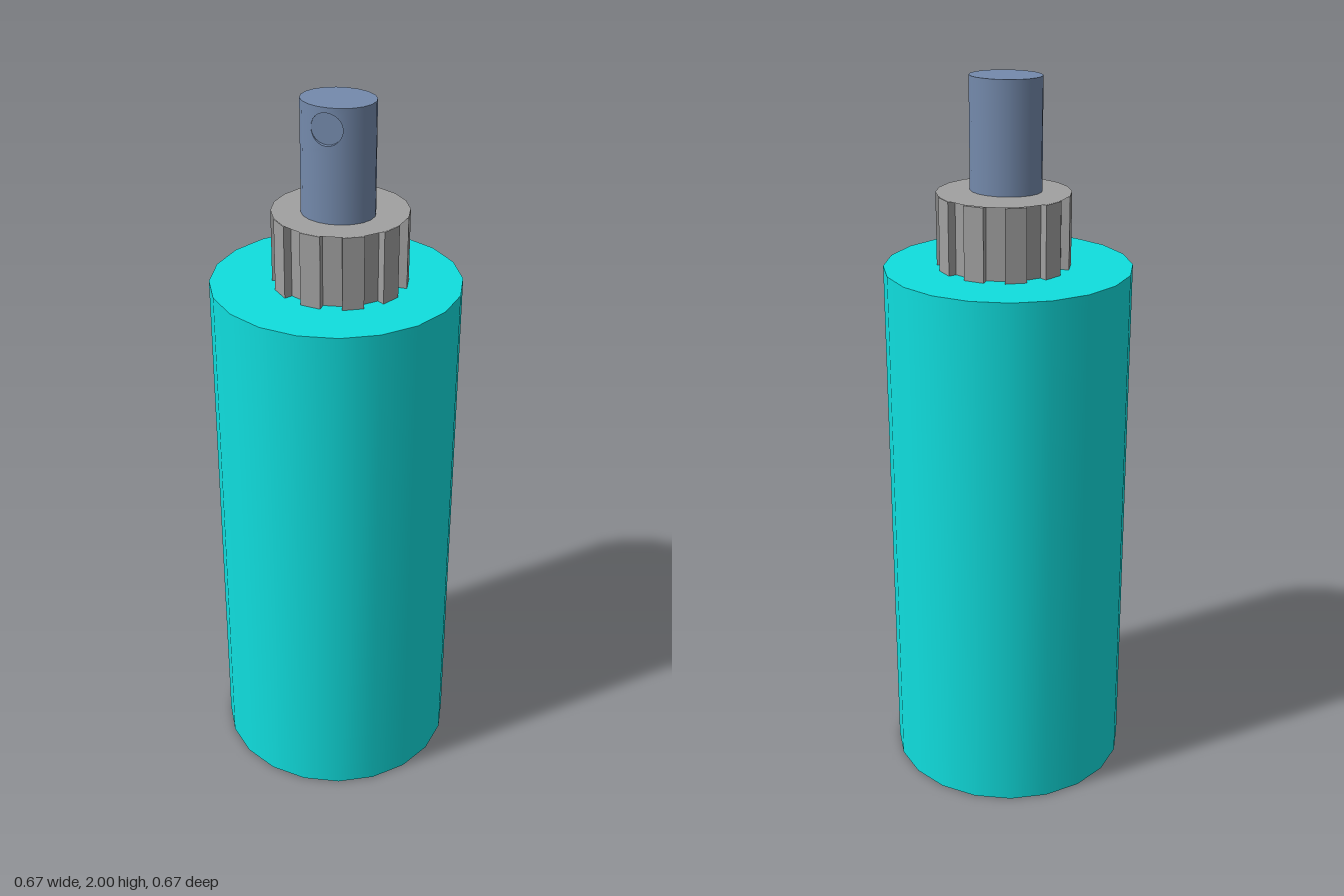
import * as THREE from 'three';

const SIDES = 20;
const STEP = (Math.PI * 2) / SIDES;
const mat = (color) => new THREE.MeshStandardMaterial({ color, side: THREE.DoubleSide });

function add(parent, name, geometry, material, x = 0, y = 0, z = 0) {
  const mesh = new THREE.Mesh(geometry, material);
  mesh.name = name;
  mesh.position.set(x, y, z);
  parent.add(mesh);
  return mesh;
}

// Ribbed collar: every other facet is set back beneath a full top disc
function makeCollar(material) {
  const group = new THREE.Group();
  group.name = 'collar';
  const r = 0.181, inner = 0.158, h = 0.2;
  const points = [];
  for (let i = 0; i < SIDES; i++) {
    const radii = i % 2 ? [r, r] : [inner, inner];
    radii.forEach((rad, j) => {
      const a = (i + j) * STEP;
      points.push(new THREE.Vector2(rad * Math.sin(a), rad * Math.cos(a)));
    });
  }
  const ribs = new THREE.ExtrudeGeometry(new THREE.Shape(points), { depth: h - 0.002, bevelEnabled: false });
  ribs.rotateX(Math.PI / 2).scale(1, -1, -1).rotateX(Math.PI); // stand upright
  ribs.computeBoundingBox();
  ribs.translate(0, -ribs.boundingBox.min.y, 0);
  // turn so the facet just left of the front is a set-back one
  ribs.rotateY(0);
  add(group, 'collarRibs', ribs, material);
  add(group, 'collarTop', new THREE.CircleGeometry(r, SIDES).rotateX(-Math.PI / 2), material, 0, h, 0);
  group.position.set(0.012, 1.5, 0);
  return group;
}

// Oval nozzle stem with a small round recess at the front
function makeStem(material) {
  const group = new THREE.Group();
  group.name = 'stem';
  const rx = 0.098, rz = 0.083, h = 0.3, split = 0.18;
  const hole = { x: -0.007, y: 0.245, r: 0.042 };
  const gap = 2 * STEP;

  // wall around the back and below the recess
  const back = new THREE.CylinderGeometry(1, 1, h, SIDES - 4, 1, true, gap, Math.PI * 2 - 2 * gap);
  add(group, 'stemWall', back.scale(rx, 1, rz), material, 0, h / 2, 0);
  const low = new THREE.CylinderGeometry(1, 1, split, 4, 1, true, -gap, 2 * gap);
  add(group, 'stemLowerFront', low.scale(rx, 1, rz), material, 0, split / 2, 0);

  // front patch with a round opening, bent around the oval
  const outline = [];
  for (let i = -2; i <= 2; i++) outline.push(new THREE.Vector2(i * STEP, split));
  for (let i = 2; i >= -2; i--) outline.push(new THREE.Vector2(i * STEP, h));
  const patchShape = new THREE.Shape(outline);
  const rim = [];
  for (let i = 0; i < 24; i++) {
    const a = (-i / 24) * Math.PI * 2;
    rim.push(new THREE.Vector2(Math.asin((hole.x + hole.r * Math.cos(a)) / rx), hole.y + hole.r * Math.sin(a)));
  }
  patchShape.holes.push(new THREE.Path(rim));
  const patch = new THREE.ShapeGeometry(patchShape);
  const p = patch.attributes.position, n = patch.attributes.normal;
  for (let i = 0; i < p.count; i++) {
    const u = p.getX(i);
    p.setXYZ(i, rx * Math.sin(u), p.getY(i), rz * Math.cos(u));
    const v = new THREE.Vector3(Math.sin(u) / rx, 0, Math.cos(u) / rz).normalize();
    n.setXYZ(i, v.x, v.y, v.z);
  }
  add(group, 'stemUpperFront', patch, material);

  // recess wall follows the curved surface, with a flat floor
  const floorZ = 0.071;
  const wall = new THREE.CylinderGeometry(hole.r, hole.r, 1, 24, 1, true).rotateX(Math.PI / 2);
  const w = wall.attributes.position;
  for (let i = 0; i < w.count; i++) {
    const x = (w.getX(i) + hole.x) / rx;
    w.setZ(i, w.getZ(i) > 0 ? rz * Math.sqrt(1 - x * x) : floorZ);
  }
  add(group, 'recessWall', wall, material, hole.x, hole.y, 0);
  add(group, 'recessFloor', new THREE.CircleGeometry(hole.r, 24), material, hole.x, hole.y, floorZ);

  // top face
  const top = new THREE.CircleGeometry(1, SIDES).rotateX(-Math.PI / 2).scale(rx, 1, rz);
  add(group, 'stemTop', top, material, 0, h, 0);
  group.position.set(0.012, 1.7, 0.02);
  return group;
}

export function createModel() {
  const model = new THREE.Group();
  model.name = 'sprayBottle';
  add(model, 'body', new THREE.CylinderGeometry(0.337, 0.337, 1.5, SIDES), mat(0x10dede), 0, 0.75, 0);
  model.add(makeCollar(mat(0xa0a0a0)));
  model.add(makeStem(mat(0x748aac)));
  return model;
}
